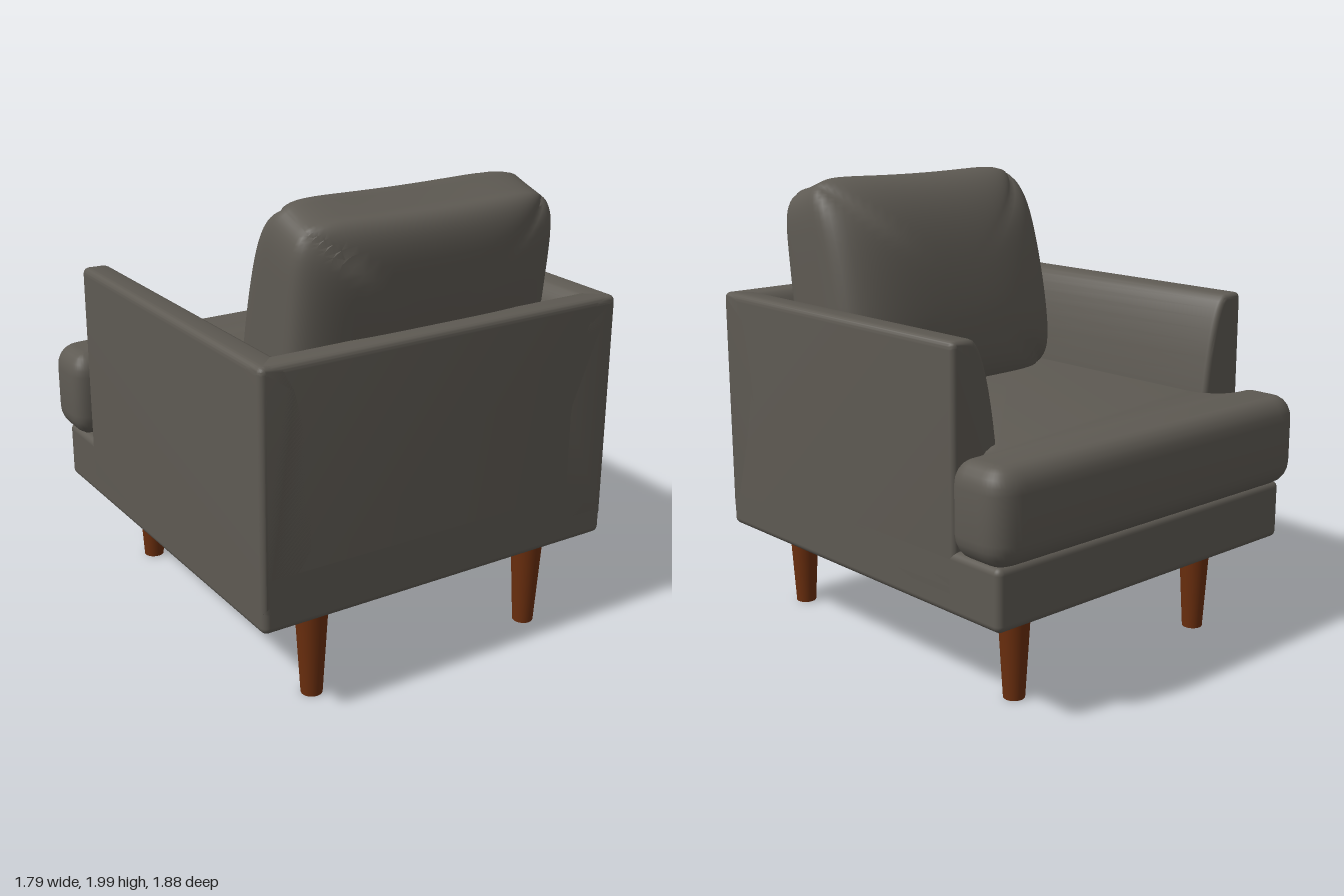
import * as THREE from 'three';
import { toCreasedNormals } from 'three/addons/utils/BufferGeometryUtils.js';
import { RoundedBoxGeometry } from 'three/addons/geometries/RoundedBoxGeometry.js';

const fabric = new THREE.MeshStandardMaterial({ color: 0x5e5a53 });
fabric.name = 'grey fabric';
const wood = new THREE.MeshStandardMaterial({ color: 0x6a2e0e });
wood.name = 'brown wood';

function add(group, name, geometry, material) {
  const mesh = new THREE.Mesh(geometry, material);
  mesh.name = name;
  group.add(mesh);
  return mesh;
}

// Upholstered wall section: straight outside, rounded top, inside sloping down to the seat
function wallShape(outer, sign) {
  const x = (inset) => sign * (outer - inset);
  const s = new THREE.Shape();
  s.moveTo(x(0), 0.5);
  s.lineTo(x(0), 1.455);
  s.quadraticCurveTo(x(0), 1.487, x(0.03), 1.487);
  s.lineTo(x(0.1), 1.485);
  s.bezierCurveTo(x(0.16), 1.48, x(0.21), 1.25, x(0.235), 1.0);
  s.lineTo(x(0.235), 0.5);
  s.closePath();
  return s;
}

// Extrusion of a given total length, with rounded ends that keep the outline size
function softExtrude(shape, length, bevel, thickness = bevel) {
  return new THREE.ExtrudeGeometry(shape, {
    depth: length - 2 * thickness, bevelEnabled: true, bevelSize: bevel, bevelOffset: -bevel,
    bevelThickness: thickness, bevelSegments: 5, curveSegments: 10,
  }).translate(0, 0, thickness);
}

// T-shaped outline of the seat, drawn as (x, z) with rounded corners
function seatShape() {
  const s = new THREE.Shape();
  const w = 0.895, n = 0.68, f = -0.94, r = -0.64, b = 0.68;
  s.moveTo(-n, b);
  s.lineTo(-n, -0.52);
  s.quadraticCurveTo(-n, r, -0.8, r);
  s.quadraticCurveTo(-w, r, -w, r - 0.09);
  s.lineTo(-w, f + 0.12);
  s.quadraticCurveTo(-w, f, -w + 0.14, f);
  s.lineTo(w - 0.14, f);
  s.quadraticCurveTo(w, f, w, f + 0.12);
  s.lineTo(w, r - 0.09);
  s.quadraticCurveTo(w, r, 0.8, r);
  s.quadraticCurveTo(n, r, n, -0.52);
  s.lineTo(n, b);
  s.closePath();
  return s;
}

// Leaning cushion: a box with rounded corners and both large faces puffed out
function backCushion() {
  const g = new THREE.BoxGeometry(2, 2, 2, 32, 32, 6);
  const p = g.attributes.position;
  for (let i = 0; i < p.count; i++) {
    const u = Math.sin(p.getX(i) * Math.PI / 2);
    const v = Math.sin(p.getY(i) * Math.PI / 2);
    const w = p.getZ(i);
    const m = Math.max(Math.abs(u), Math.abs(v));
    const q = Math.pow(u ** 8 + v ** 8, 1 / 8) || 1;
    const a = u * m / q, c = v * m / q;
    const t = (w + 1) / 2;
    const rise = (c + 1) / 2;
    const y = 1 + rise * (1 - 0.05 * t - 0.02 * (1 - a * a));
    const k = y - 1;
    const front = 0.41 + 0.03 * k + 0.19 * k * k;
    const back = 0.64 + 0.135 * k;
    const puff = Math.pow(Math.max(0, (1 - u ** 4) * (1 - v ** 4)), 0.4);
    let z = front + (back - front) * t;
    if (w < -0.999) z -= 0.19 * puff;
    if (w > 0.999) z += 0.14 * puff;
    p.setXYZ(i, a * (0.615 - 0.01 * rise), y, z);
  }
  return toCreasedNormals(g, 0.9);
}

export function createModel() {
  const model = new THREE.Group();
  model.name = 'armchair';

  // Base frame
  add(model, 'base', new RoundedBoxGeometry(1.69, 0.26, 1.815, 4, 0.03), fabric)
    .position.set(0, 0.54, 0.0275);

  // Arms
  for (const [name, sign] of [['leftArm', 1], ['rightArm', -1]]) {
    const arm = softExtrude(wallShape(0.845, sign), 1.56, 0.025).translate(0, 0, -0.625);
    add(model, name, toCreasedNormals(arm, 0.6), fabric);
  }

  // Backrest wall
  const back = softExtrude(wallShape(0.935, 1), 1.69, 0.025).translate(0, 0, -0.845);
  add(model, 'backrest', toCreasedNormals(back.rotateY(-Math.PI / 2), 0.6), fabric);

  // Seat cushion
  const seat = softExtrude(seatShape(), 0.39, 0.08, 0.1).rotateX(Math.PI / 2).translate(0, 1.06, 0);
  add(model, 'seatCushion', toCreasedNormals(seat, 0.6), fabric);

  // Back cushion
  add(model, 'backCushion', backCushion(), fabric);

  // Tapered legs
  const legGeometry = new THREE.CylinderGeometry(0.071, 0.045, 0.43, 24);
  for (const x of [-0.543, 0.558]) {
    for (const z of [-0.655, 0.79]) {
      add(model, z < 0 ? 'frontLeg' : 'backLeg', legGeometry, wood).position.set(x, 0.215, z);
    }
  }
  return model;
}
